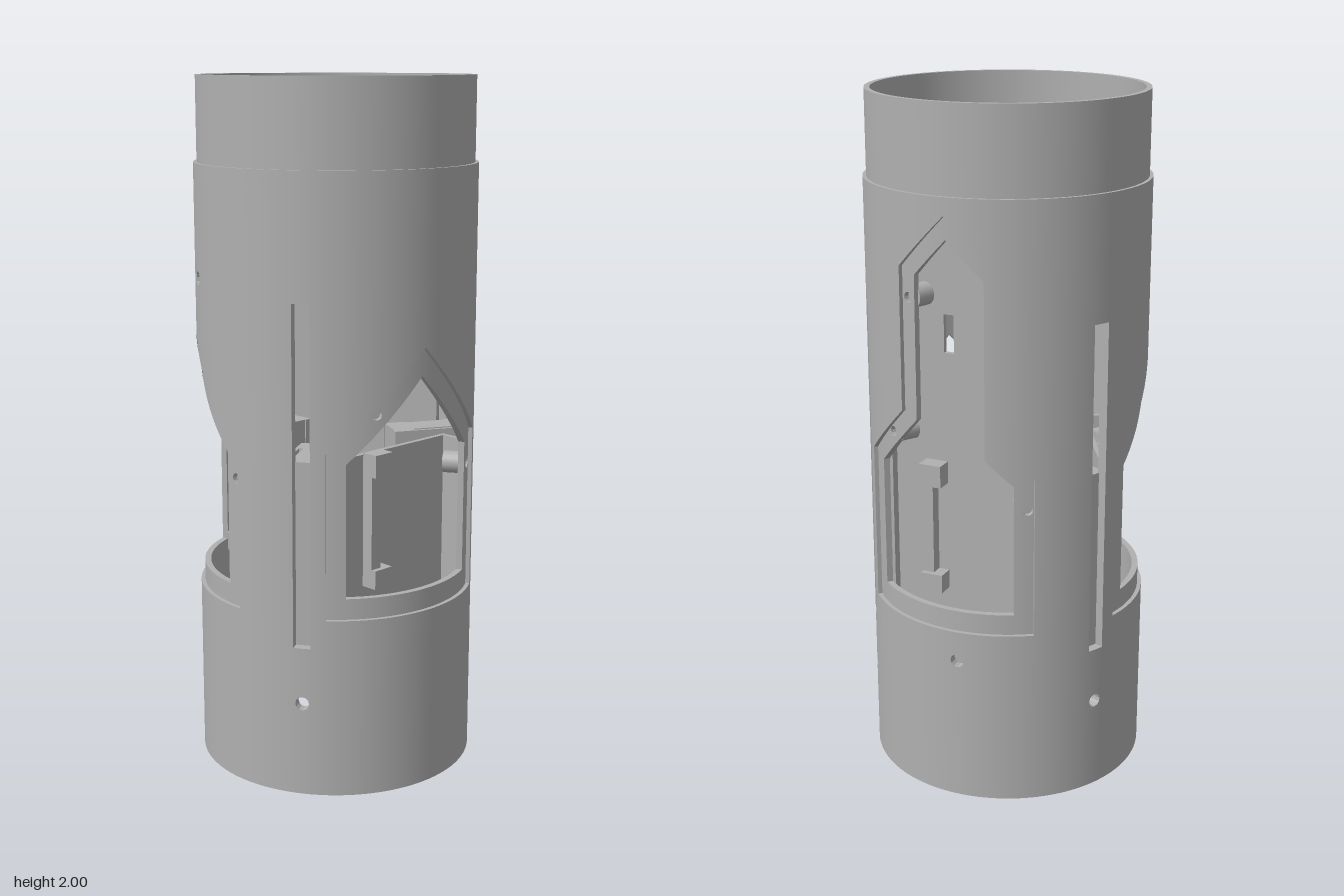
import * as THREE from 'three';

const RAD = Math.PI / 180, R = 0.405;
const grey = new THREE.MeshStandardMaterial({ color: 0xb0b0b0, side: THREE.DoubleSide });
grey.name = 'plain grey';

// A cut is a profile [offset along the chord, low y, high y] about an angle in degrees.
const cut = (deg, pts) => ({ c: deg * RAD, pts, ang: pts.map(p => deg * RAD + Math.asin(p[0] / R)) });
const slotCut = (deg, y0, y1, h) => cut(deg, [[-h, y0, y0], [-h, y0, y1], [h, y0, y1], [h, y0, y0]]);
function holeCut(deg, y, r) {
  const pts = [];
  for (let i = 0; i <= 6; i++) {
    const a = Math.PI * i / 6;
    pts.push([-r * Math.cos(a), y - r * Math.sin(a), y + r * Math.sin(a)]);
  }
  return cut(deg, pts);
}
// House-shaped window
const gable = (deg, w, y0, y1, top) =>
  cut(deg, [[-w, y0, y0], [-w, y0, y1], [0, y0, top], [w, y0, y1], [w, y0, y0]]);
// Window with a tall pointed neck, a little off centre
const necked = (deg, w, n0, n1, y0, y1, neckTop, top) => cut(deg, [
  [-w, y0, y0], [-w, y0, y1], [n0, y0, y1 + w + n0], [n0, y0, neckTop], [(n0 + n1) / 2, y0, top],
  [n1, y0, neckTop], [n1, y0, y1 + w - n1], [w, y0, y1], [w, y0, y0]]);

// Cylindrical wall between two radii, built in angular columns with the cuts left open
function wall(r0, r1, y0, y1, cuts = []) {
  const pos = [], nor = [];
  const P = (r, a, y) => new THREE.Vector3(r * Math.cos(a), y, r * Math.sin(a));
  function quad(p, radial = 0) {
    const flat = p[2].clone().sub(p[0]).cross(p[3].clone().sub(p[1])).normalize();
    for (const i of [0, 1, 2, 0, 2, 3]) {
      const n = radial ? new THREE.Vector3(p[i].x, 0, p[i].z).normalize().multiplyScalar(radial) : flat;
      pos.push(...p[i].toArray());
      nor.push(...n.toArray());
    }
  }
  const grid = [];
  for (let i = 0; i <= 120; i++) grid.push((-95 + 3 * i) * RAD);
  cuts.forEach(c => grid.push(...c.ang));
  const cols = grid.sort((a, b) => a - b).filter((a, i) => i === 0 || a - grid[i - 1] > 1e-6);

  for (let k = 0; k + 1 < cols.length; k++) {
    const a = cols[k], b = cols[k + 1], mid = (a + b) / 2, gaps = [];
    for (const c of cuts) {
      const i = c.ang.findIndex((v, j) => v < mid && c.ang[j + 1] > mid);
      if (i < 0) continue;
      const p = c.pts[i], q = c.pts[i + 1];
      const at = (ang, d) => p[d] + (q[d] - p[d]) * (R * Math.sin(ang - c.c) - p[0]) / (q[0] - p[0]);
      gaps.push([at(a, 1), at(b, 1), at(a, 2), at(b, 2)]);
    }
    gaps.sort((u, v) => u[0] + u[1] - v[0] - v[1]);
    let la = y0, lb = y0;
    for (const [ga, gb, ha, hb] of [...gaps, [y1, y1, y1, y1]]) {
      quad([P(r1, b, lb), P(r1, a, la), P(r1, a, ga), P(r1, b, gb)], 1);
      quad([P(r0, a, la), P(r0, b, lb), P(r0, b, gb), P(r0, a, ga)], -1);
      quad([P(r0, a, ga), P(r0, b, gb), P(r1, b, gb), P(r1, a, ga)]);
      quad([P(r1, a, la), P(r1, b, lb), P(r0, b, lb), P(r0, a, la)]);
      la = ha; lb = hb;
    }
  }
  // Upright sides of the cuts
  for (const c of cuts) for (let i = 0; i + 1 < c.pts.length; i++) {
    const p = c.pts[i], q = c.pts[i + 1], a = c.ang[i];
    if (Math.abs(p[0] - q[0]) > 1e-6 || Math.abs(p[2] - q[2]) < 1e-6) continue;
    const s = (p[0] < 0) ? [r1, r0] : [r0, r1];
    quad([P(s[0], a, p[2]), P(s[1], a, p[2]), P(s[1], a, q[2]), P(s[0], a, q[2])]);
  }
  const g = new THREE.BufferGeometry();
  g.setAttribute('position', new THREE.Float32BufferAttribute(pos, 3));
  g.setAttribute('normal', new THREE.Float32BufferAttribute(nor, 3));
  return g;
}

export function createModel() {
  const model = new THREE.Group();
  model.name = 'tubeSection';
  const add = (parent, name, geometry) => {
    const m = new THREE.Mesh(geometry, grey);
    m.name = name;
    parent.add(m);
    return m;
  };
  // Group turned so that local x points outward and local z runs along the wall
  const radial = (name, deg) => {
    const g = new THREE.Group();
    g.name = name;
    g.rotation.y = -deg * RAD;
    model.add(g);
    return g;
  };
  const box = (parent, name, x0, x1, y0, y1, z0, z1) => {
    const m = add(parent, name, new THREE.BoxGeometry(x1 - x0, y1 - y0, z1 - z0));
    m.position.set((x0 + x1) / 2, (y0 + y1) / 2, (z0 + z1) / 2);
  };

  const front = 69.5, side = 189.5, back = -50.5;
  const fins = [0, 120, 240];
  // Screw points around the windows: angle, height, boss radius
  const screws = [
    [front + 20.5, 1.105, 0.032], [front - 38, 0.9, 0.032],
    [side + 20.5, 1.105, 0.032], [side - 38, 0.9, 0.032],
    [back + 23.5, 1.075, 0.032], [back - 39, 0.9, 0.032], [back + 12, 1.475, 0.032]];
  const bigScrew = [-60.5, 0.435, 0.045];

  // Tube: outer skin with window recesses, inner skin with smaller openings
  const shared = [
    ...fins.map(a => slotCut(a, 0.44, 1.41, 0.025)),
    ...fins.map(a => holeCut(a, 0.275, 0.02)),
    holeCut(bigScrew[0], bigScrew[1], 0.02), holeCut(180, 1.44, 0.02)];
  add(model, 'outerSkin', wall(0.393, R, 0, 1.76, [...shared,
    gable(front, 0.265, 0.525, 1.0, 1.28), gable(side, 0.265, 0.525, 1.0, 1.28),
    necked(back, 0.268, -0.195, 0.105, 0.525, 0.99, 1.56, 1.71)]));
  add(model, 'innerSkin', wall(0.375, 0.393, 0.24, 1.76, [...shared,
    ...screws.map(([a, y]) => holeCut(a, y, 0.015)),
    gable(front, 0.22, 0.585, 0.97, 1.2), gable(side, 0.22, 0.585, 0.97, 1.2),
    necked(back, 0.223, -0.15, 0.06, 0.585, 0.97, 1.54, 1.645)]));
  add(model, 'topSpigot', wall(0.379, 0.395, 1.74, 2));

  // Screw bosses inside the wall
  for (const [deg, y, r] of [...screws, bigScrew]) {
    const g = radial('screwBoss', deg);
    const m = add(g, 'boss', new THREE.CylinderGeometry(r, r, 0.052, 24));
    m.rotation.z = Math.PI / 2;
    m.position.set(0.352, y, 0);
  }
  box(radial('wallPad', 180), 'pad', 0.362, 0.377, 1.38, 1.5, -0.085, 0.085);

  // Fin guides behind the slots
  for (const a of fins) {
    const g = radial('finGuide', a);
    box(g, 'guideBlock', 0.168, 0.378, 0.44, 0.97, -0.045, 0.04);
    box(g, 'guideRail', 0.165, 0.374, 0.44, 0.97, 0.052, 0.062);
    for (const [x0, x1] of [[0.165, 0.23], [0.35, 0.374]]) {
      box(g, 'railPad', x0, x1, 0.44, 0.97, 0.04, 0.052);
      box(g, 'sidePad', x0, x1, 0.44, 0.97, -0.053, -0.045);
    }
  }

  // Equipment trays behind the windows; the back one is tall and slotted
  for (const [deg, top] of [[62.5, 0.97], [182.5, 0.97], [-57.5, 1.62]]) {
    const g = radial('equipmentTray', deg);
    const rect = (C, x0, x1, y0, y1) => new C([[x0, y0], [x1, y0], [x1, y1], [x0, y1]].map(p => new THREE.Vector2(...p)));
    const board = rect(THREE.Shape, -0.25, 0.205, 0.45, top);
    if (top > 1) for (const [x, y] of [[-0.065, 1.35], [0.075, 1.35], [0.075, 1.17]])
      board.holes.push(rect(THREE.Path, x - 0.015, x + 0.015, y - 0.055, y + 0.055));
    const b = add(g, 'trayBoard', new THREE.ExtrudeGeometry(board, { depth: 0.015, bevelEnabled: false }));
    b.rotation.y = Math.PI / 2;
    b.position.x = 0.24;
    box(g, 'trayFlange', 0.24, 0.318, 0.45, top, -0.205, -0.19);
    box(g, 'trayFlange', 0.24, 0.283, 0.45, top, 0.235, 0.25);
    box(g, 'bracketStrip', 0.254, 0.29, 0.59, 0.97, 0.105, 0.14);
    box(g, 'bracketTab', 0.254, 0.305, 0.91, 0.975, 0.073, 0.14);
    box(g, 'bracketTab', 0.254, 0.305, 0.585, 0.64, 0.073, 0.14);
  }
  return model;
}
